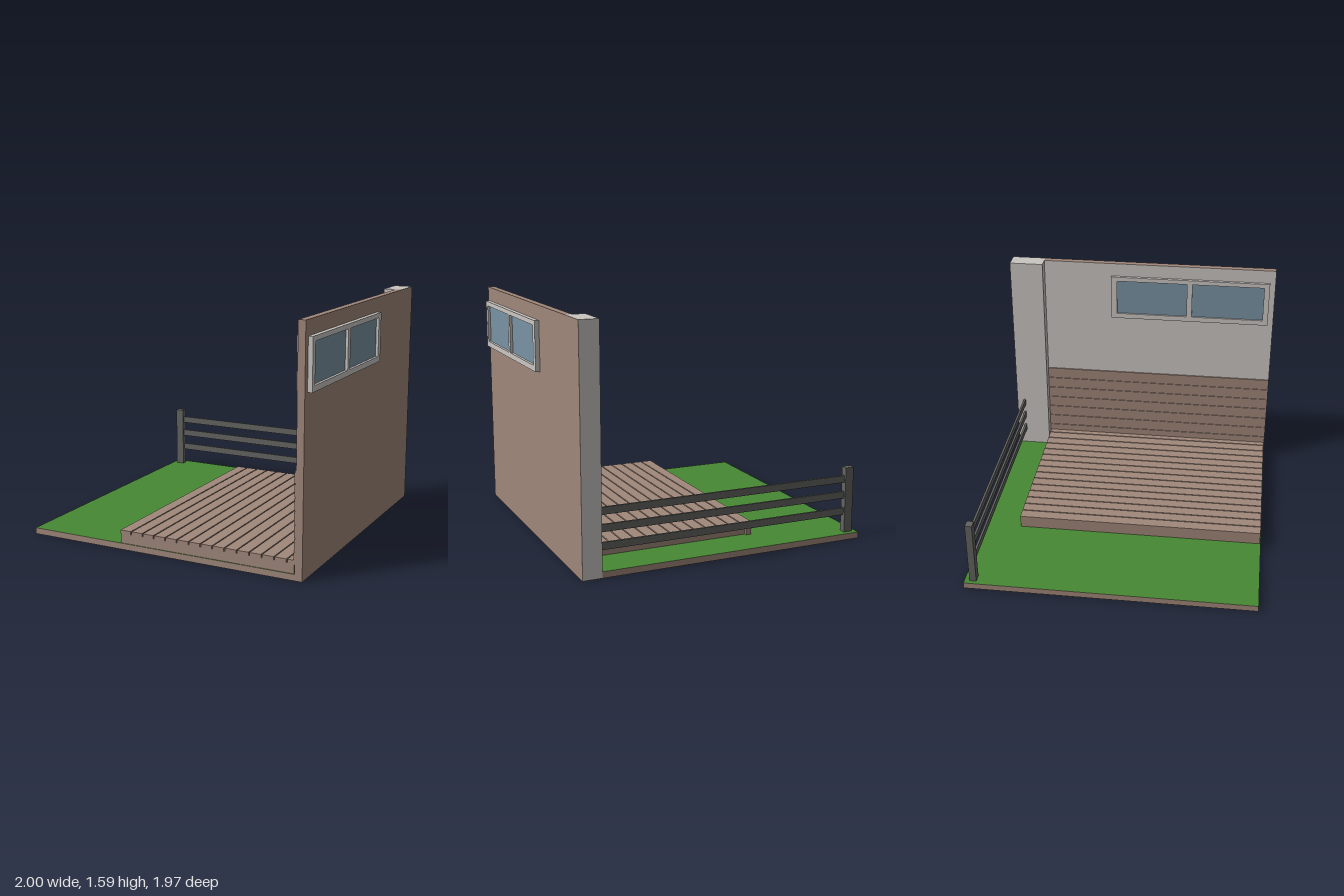
import * as THREE from 'three';

const mat = (name, color) => {
  const m = new THREE.MeshStandardMaterial({ color });
  m.name = name;
  return m;
};

export function createModel() {
  const wood = mat('brown wood', 0xa0877a);
  const grass = mat('grass green', 0x478833);
  const plaster = mat('pale plaster', 0xcac6c2);
  const metal = mat('dark fence grey', 0x636361);
  const glass = mat('window blue', 0x7a93a3);

  const root = new THREE.Group();
  root.name = 'terraceCorner';
  const group = (name) => {
    const g = new THREE.Group();
    g.name = name;
    root.add(g);
    return g;
  };
  // Box given by its extents on each axis
  const box = (parent, name, material, [x0, x1], [y0, y1], [z0, z1]) => {
    const mesh = new THREE.Mesh(new THREE.BoxGeometry(x1 - x0, y1 - y0, z1 - z0), material);
    mesh.position.set((x0 + x1) / 2, (y0 + y1) / 2, (z0 + z1) / 2);
    mesh.name = name;
    parent.add(mesh);
    return mesh;
  };

  // Ground slab with a green top, notched round the pillar
  const ground = group('ground');
  const slabMats = [wood, wood, grass, wood, wood, wood];
  box(ground, 'lawn', slabMats, [-1, 0.84], [0, 0.042], [-0.985, 0.985]);
  box(ground, 'wallFooting', slabMats, [0.84, 0.97], [0, 0.042], [-0.74, 0.985]);

  // Side wall: brown outside, plaster inside
  const wall = group('wall');
  box(wall, 'sideWall', [wood, plaster, wood, wood, wood, wood],
    [0.922, 0.97], [0.042, 1.59], [-0.74, 0.985]);
  box(wall, 'pillar', [wood, plaster, plaster, plaster, plaster, plaster],
    [0.84, 0.97], [0, 1.59], [-0.985, -0.74]);

  // Horizontal cladding on the lower inside of the wall
  const cladding = group('cladding');
  box(cladding, 'claddingBacking', wood, [0.919, 0.922], [0.042, 0.69], [-0.74, 0.985]);
  for (let i = 0; i < 7; i++) {
    const top = 0.69 - i * 0.085;
    box(cladding, 'claddingBoard', wood, [0.913, 0.919], [top - 0.077, top], [-0.74, 0.985]);
  }

  // Raised deck: boards with open gaps over a frame
  const deck = group('deck');
  const pitch = 0.085, gap = 0.008;
  for (let i = 0; i < 15; i++) {
    const x = -0.32 + i * pitch;
    const end = Math.min(x + pitch - gap, 0.913);
    box(deck, 'deckBoard', wood, [x, end], [0.108, 0.13], [-0.735, 0.98]);
  }
  box(deck, 'frontFascia', wood, [-0.318, 0.913], [0.042, 0.108], [0.942, 0.979]);
  box(deck, 'backJoist', wood, [-0.318, 0.913], [0.042, 0.108], [-0.715, -0.68]);
  box(deck, 'sideFascia', wood, [-0.319, -0.28], [0.042, 0.108], [-0.734, 0.942]);

  // Fence with one post and three rails
  const fence = group('fence');
  box(fence, 'fencePost', metal, [-0.97, -0.91], [0.042, 0.49], [-0.95, -0.903]);
  for (const y of [0.185, 0.3, 0.41]) {
    box(fence, 'fenceRail', metal, [-0.91, 0.84], [y - 0.024, y + 0.024], [-0.935, -0.92]);
  }

  // Double window set through the wall, framed on both sides
  const win = group('window');
  const rect = (s, z0, z1, y0, y1) => {
    s.moveTo(-z0, y0);
    s.lineTo(-z0, y1);
    s.lineTo(-z1, y1);
    s.lineTo(-z1, y0);
    s.closePath();
    return s;
  };
  const panes = [[-0.19, 0.335], [0.375, 0.905]];
  const shape = rect(new THREE.Shape(), -0.235, 0.945, 1.16, 1.492);
  for (const [a, b] of panes) shape.holes.push(rect(new THREE.Path(), a, b, 1.198, 1.46));
  const frame = new THREE.Mesh(
    new THREE.ExtrudeGeometry(shape, { depth: 0.1, bevelEnabled: false }), plaster);
  frame.rotation.y = Math.PI / 2;
  frame.position.x = 0.9;
  frame.name = 'windowFrame';
  win.add(frame);
  for (const pane of panes) box(win, 'windowPane', glass, [0.912, 0.982], [1.198, 1.46], pane);

  return root;
}
